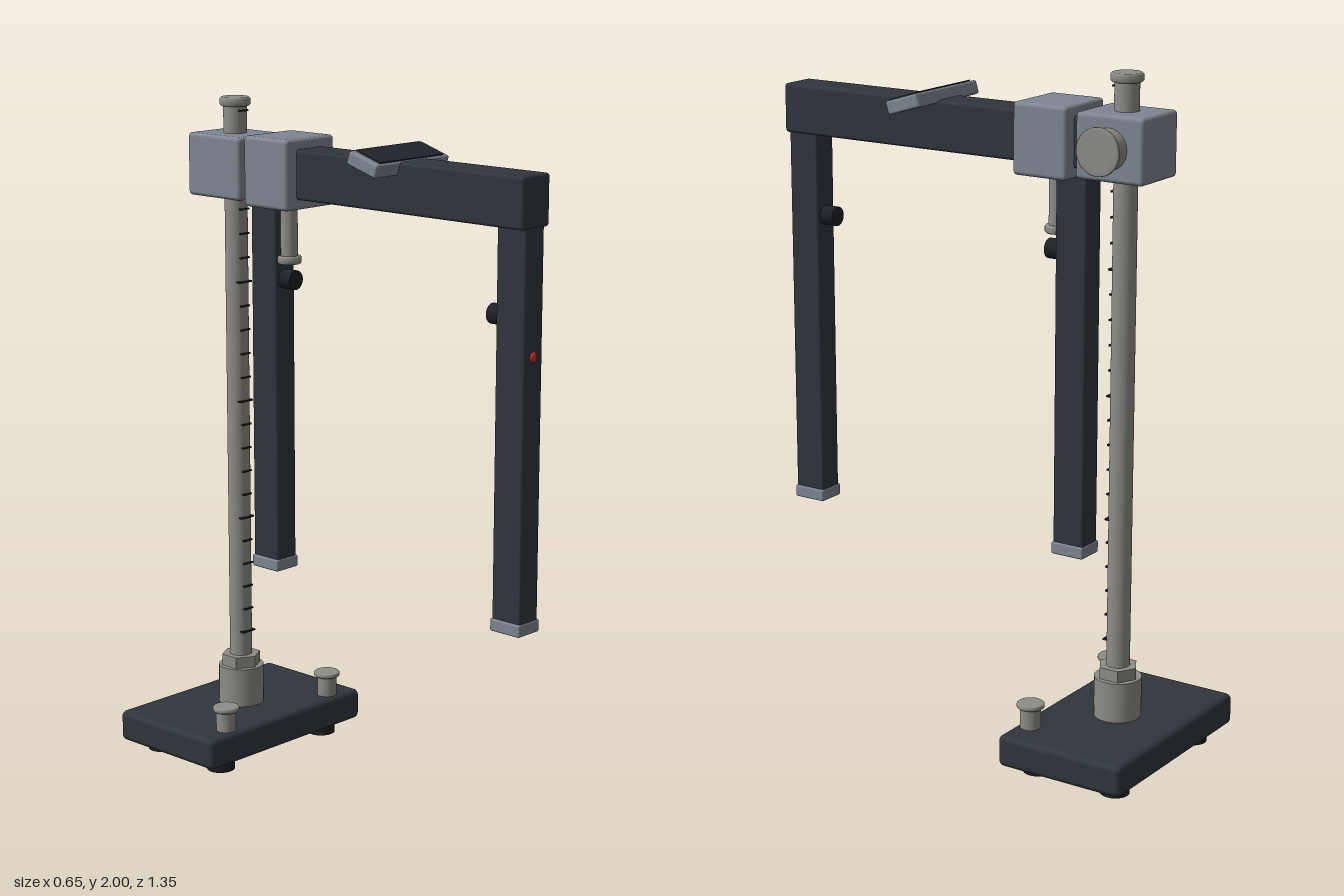
import * as THREE from 'three';
import { RoundedBoxGeometry } from 'three/addons/geometries/RoundedBoxGeometry.js';

const mat = (color) => new THREE.MeshStandardMaterial({ color });

export function createModel() {
  const model = new THREE.Group();
  model.name = 'measuringStand';
  const dark = mat(0x2f363d);
  const alloy = mat(0x7d8792);
  const steel = mat(0x8f8d88);
  const rubber = mat(0x1e2125);
  const glass = mat(0x23262e);
  const red = mat(0xc8302a);

  const add = (name, geometry, material, x, y, z, parent = model) => {
    const mesh = new THREE.Mesh(geometry, material);
    mesh.name = name;
    mesh.position.set(x, y, z);
    parent.add(mesh);
    return mesh;
  };
  // Rounded box given by its extents
  const box = (name, material, [x0, x1], [y0, y1], [z0, z1], r) =>
    add(name, new RoundedBoxGeometry(x1 - x0, y1 - y0, z1 - z0, 3, r), material,
      (x0 + x1) / 2, (y0 + y1) / 2, (z0 + z1) / 2);
  // Upright cylinder standing at y0
  const cyl = (name, material, r, y0, y1, x, z, sides = 32) =>
    add(name, new THREE.CylinderGeometry(r, r, y1 - y0, sides), material, x, (y0 + y1) / 2, z);
  // Knob along +y: stem, lip and flat end, each edge doubled to stay crisp
  const knob = (name, stem, lip, length, lipHeight, x, y, z) => {
    const group = new THREE.Group();
    group.name = name;
    group.position.set(x, y, z);
    add('stem', new THREE.CylinderGeometry(stem, stem, length, 32), steel, 0, length / 2, 0, group);
    const h = lipHeight, b = h * 0.2;
    const pts = [[0, 0], [stem, 0], [lip - b, 0], [lip, b], [lip, h - b], [lip - b, h], [lip * 0.7, h], [0, h]]
      .map(([r, t]) => new THREE.Vector2(r, t + length - h));
    add('lip', new THREE.LatheGeometry(pts, 32), steel, 0, 0, 0, group);
    model.add(group);
    return group;
  };

  const zc = -0.472; // column axis

  // Base plate, feet and levelling knobs
  box('basePlate', dark, [-0.325, 0.325], [0.035, 0.13], [-0.675, -0.27], 0.018);
  for (const x of [-0.22, 0.22]) {
    for (const z of [-0.34, -0.6]) cyl('foot', rubber, 0.042, 0, 0.045, x, z);
    knob('levellingKnob', 0.03, 0.04, 0.075, 0.014, x, 0.13, -0.315);
  }

  // Column with socket, hex nut and top cap
  cyl('columnSocket', steel, 0.069, 0.125, 0.25, 0, zc);
  const nut = cyl('hexNut', steel, 0.06, 0.25, 0.285, 0, zc, 6);
  nut.geometry = nut.geometry.toNonIndexed();
  nut.geometry.computeVertexNormals();
  cyl('column', steel, 0.034, 0.13, 1.98, 0, zc);
  knob('columnCap', 0.035, 0.046, 0.11, 0.026, 0, 1.89, zc);

  // Scale marks along the front of the column
  for (let i = 0; i < 23; i++) {
    const width = i % 5 === 0 ? 0.05 : 0.034;
    add('scaleMark', new THREE.BoxGeometry(width, 0.005, 0.016), rubber,
      0, 0.362 + i * 0.0727, zc + 0.03);
  }

  // Sliding clamp and its side knob
  box('columnClamp', alloy, [-0.093, 0.093], [1.71, 1.895], [-0.58, -0.365], 0.012);
  knob('clampKnob', 0.058, 0.067, 0.062, 0.014, 0.092, 1.803, zc).rotation.z = -Math.PI / 2;

  // Horizontal arm, arm sleeve and locking knob below it
  box('arm', dark, [-0.058, 0.058], [1.73, 1.875], [-0.38, 0.668], 0.01);
  box('armSleeve', alloy, [-0.1, 0.1], [1.7, 1.905], [-0.34, -0.165], 0.012);
  knob('sleeveKnob', 0.025, 0.036, 0.175, 0.024, 0, 1.705, -0.2525).rotation.x = Math.PI;

  // Two hanging legs with end caps and facing thumb screws
  for (const [name, z, side] of [['frontLeg', 0.615, -1], ['rearLeg', -0.32, 1]]) {
    box(name, dark, [-0.04, 0.04], [0.62, 1.74], [z - 0.05, z + 0.05], 0.007);
    box(name + 'EndCap', alloy, [-0.045, 0.045], [0.595, 0.632], [z - 0.053, z + 0.053], 0.006);
    const screw = add('thumbScrew', new THREE.CylinderGeometry(0.029, 0.029, 0.046, 24), rubber,
      0, 1.483, z + side * 0.071);
    screw.rotation.x = Math.PI / 2;
  }
  // Indicator light on the front leg
  const light = add('indicatorLight', new THREE.SphereGeometry(0.015, 20, 12), red, 0, 1.38, 0.665);
  light.scale.z = 0.5;

  // Tilted display on the arm
  const display = new THREE.Group();
  display.name = 'display';
  display.position.set(0, 1.871, 0.173);
  display.rotation.x = 0.3;
  add('displayFrame', new RoundedBoxGeometry(0.302, 0.04, 0.112, 3, 0.007), alloy, 0, 0, 0, display);
  add('screen', new THREE.BoxGeometry(0.262, 0.01, 0.094), glass, 0, 0.019, 0, display);
  model.add(display);

  return model;
}
